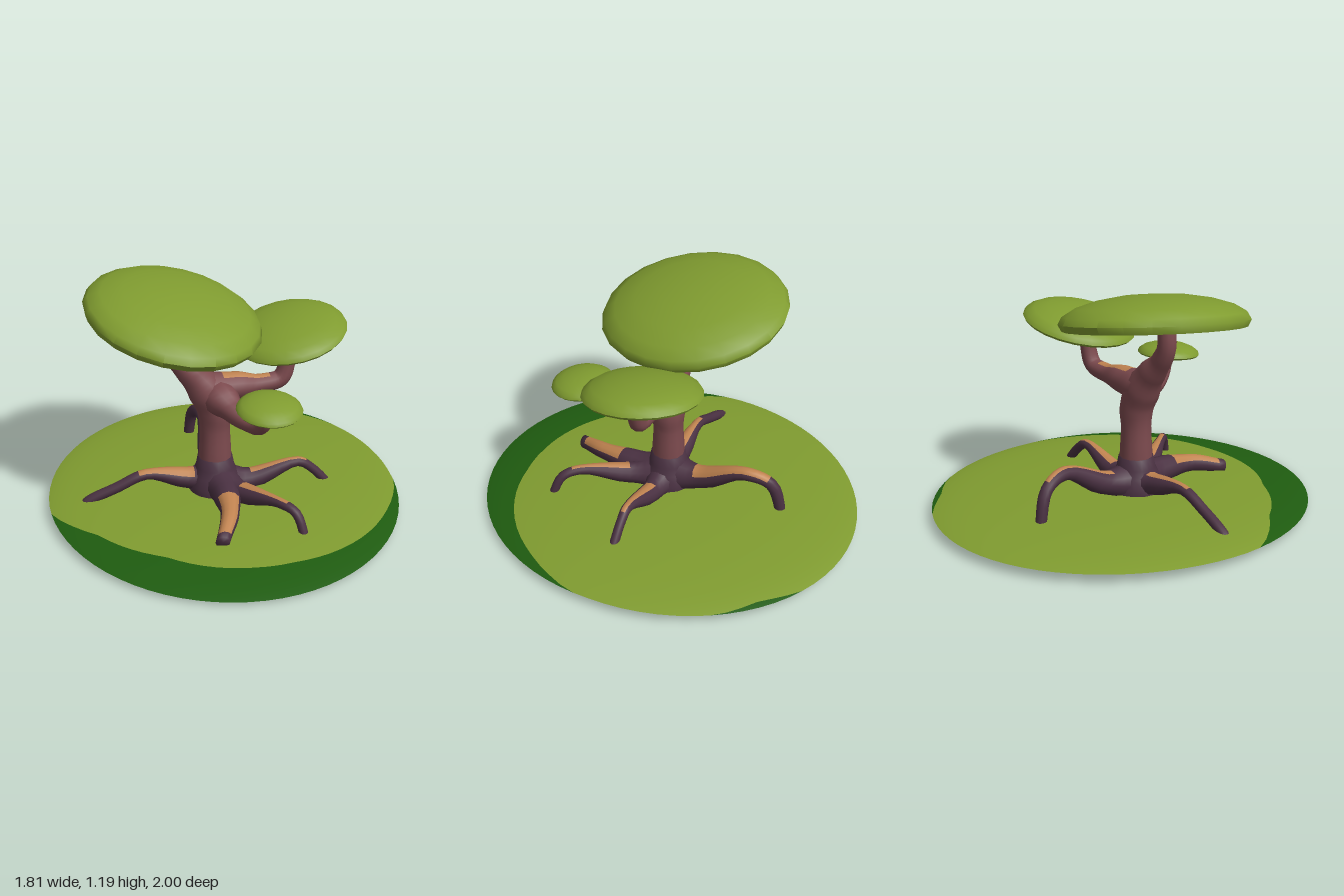
import * as THREE from 'three';
import { toCreasedNormals } from 'three/addons/utils/BufferGeometryUtils.js';

const V = (a) => new THREE.Vector3(...a);

function makeMaterial(name, color) {
  const m = new THREE.MeshStandardMaterial({ color });
  m.name = name;
  return m;
}

// Indexed geometry with one group per material slot
function grouped(positions, lists) {
  const g = new THREE.BufferGeometry();
  g.setAttribute('position', new THREE.Float32BufferAttribute(positions, 3));
  g.setIndex(lists.flat());
  let start = 0;
  lists.forEach((list, slot) => {
    g.addGroup(start, list.length, slot);
    start += list.length;
  });
  g.computeVertexNormals();
  return g;
}

// Tapered limb along a path of [x, y, z, radius]; the listed sides take the second
// material between the given fractions of its length (sides 2 and 3 face up)
function limbGeometry(path, litFrom, litTo, litSides) {
  const sides = 12, steps = (path.length - 1) * 5;
  const curve = new THREE.CatmullRomCurve3(path.map((p) => V(p.slice(0, 3))));
  const heading = V(path.at(-1).slice(0, 3)).sub(V(path[0].slice(0, 3))).setY(0).normalize();
  const side = new THREE.Vector3(0, 1, 0).cross(heading);
  const positions = [], lists = [[], []];
  for (let i = 0; i <= steps; i++) {
    const u = i / steps;
    const f = u * (path.length - 1), k = Math.min(Math.floor(f), path.length - 2);
    const r = THREE.MathUtils.lerp(path[k][3], path[k + 1][3], THREE.MathUtils.smoothstep(f - k, 0, 1));
    const p = curve.getPoint(u);
    const up = curve.getTangent(u).cross(side).normalize();
    for (let j = 0; j < sides; j++) {
      const a = (j / sides) * Math.PI * 2;
      const q = p.clone().addScaledVector(side, Math.cos(a) * r).addScaledVector(up, Math.sin(a) * r);
      positions.push(q.x, q.y, q.z);
    }
  }
  for (let i = 0; i < steps; i++) {
    for (let j = 0; j < sides; j++) {
      const u = (i + 0.5) / steps;
      const lit = u > litFrom && u < litTo && litSides.includes(j);
      const a = i * sides + j, b = i * sides + (j + 1) % sides;
      lists[lit ? 1 : 0].push(a, b, a + sides, b, b + sides, a + sides);
    }
  }
  // Tip cap
  const tip = curve.getPoint(1);
  positions.push(tip.x, tip.y, tip.z);
  const c = positions.length / 3 - 1, last = steps * sides;
  for (let j = 0; j < sides; j++) lists[0].push(last + j, last + (j + 1) % sides, c);
  return grouped(positions, lists);
}

// Edge of the light grass: [degrees from front towards +x, fraction of the rim]
const GRASS_EDGE = [
  [-180, 1], [-84, 1], [-65, 0.85], [-36, 0.76], [-17, 0.77], [0, 0.78], [16, 0.8], [32, 0.845],
  [48, 0.89], [63, 0.93], [78, 0.98], [83, 1], [127, 1], [141, 0.965], [155, 1], [180, 1],
];
function grassEdge(deg) {
  const k = GRASS_EDGE.findIndex((p, i) => i > 0 && deg <= p[0]);
  const [a, b] = [GRASS_EDGE[k - 1], GRASS_EDGE[k]];
  return THREE.MathUtils.mapLinear(deg, a[0], b[0], a[1], b[1]);
}

// One face of the shallow tilted mound, gently swollen and rounded at the rim
function moundGeometry(top) {
  const seg = 72, inner = 14, outer = 6;
  const positions = [], lists = [[], []];
  for (let i = 0; i <= inner + outer; i++) {
    for (let j = 0; j < seg; j++) {
      const deg = -180 + (j / seg) * 360, edge = grassEdge(deg), a = THREE.MathUtils.degToRad(deg);
      const r = i <= inner
        ? edge * Math.sin((i / inner) * Math.PI / 2)
        : edge + (1 - edge) * Math.sin(((i - inner) / outer) * Math.PI / 2);
      const z = r * Math.cos(a);
      const swell = top
        ? 0.036 * (1 - r ** 3) + 0.01 * (1 - r ** 16)
        : -0.01 * (1 - r ** 6) - 0.009 * (1 - r ** 16);
      const x = 0.907 * r * Math.sin(a) + 0.03 * Math.max(0, -z);
      positions.push(x, 0.042 - 0.017 * z - 0.015 * z * z + swell, z);
    }
  }
  for (let i = 0; i < inner + outer; i++) {
    for (let j = 0; j < seg; j++) {
      const a = i * seg + j, b = i * seg + (j + 1) % seg, c = a + seg, d = b + seg;
      const tris = top ? [a, c, d, a, d, b] : [a, d, c, a, b, d];
      lists[i < inner ? 0 : 1].push(...tris);
    }
  }
  return grouped(positions, lists);
}

// Leaf cap: domed above, slightly hollow below, with a soft lip
function capGeometry(rx, rz, height, hollow, lip) {
  const under = [[0, hollow], [0.5, hollow * 0.75], [0.85, -lip * 0.5], [0.96, -lip]];
  const dome = [[1, 0], [0.96, 0.26], [0.83, 0.54], [0.6, 0.79], [0.32, 0.95], [0, 1]];
  const pts = [
    ...under.map(([r, y]) => new THREE.Vector2(r, y)),
    ...dome.map(([r, y]) => new THREE.Vector2(r, y * height)),
  ];
  const g = new THREE.LatheGeometry(pts, 22);
  g.scale(rx, 1, rz);
  return toCreasedNormals(g, 1);
}

export function createModel() {
  const leaf = makeMaterial('leaf green', 0x809c30);
  const shade = makeMaterial('dark grass', 0x1f5c10);
  const bark = makeMaterial('red brown bark', 0x7c4a4e);
  const root = makeMaterial('dark purple bark', 0x4a3142);
  const tan = makeMaterial('tan bark', 0xc08350);

  const model = new THREE.Group();
  model.name = 'tree on mound';
  const add = (name, geometry, material) => {
    const mesh = new THREE.Mesh(geometry, material);
    mesh.name = name;
    model.add(mesh);
    return mesh;
  };

  // Ground
  add('moundTop', moundGeometry(true), [leaf, shade]);
  add('moundUnderside', moundGeometry(false), [leaf, shade]);

  // Flared trunk base
  const flare = [[0, 0.04], [0.13, 0.04], [0.14, 0.07], [0.138, 0.12], [0.12, 0.17], [0.1, 0.21], [0.09, 0.265], [0.07, 0.267]];
  add('trunkBase', new THREE.LatheGeometry(flare.map((p) => new THREE.Vector2(...p)), 16), root)
    .position.set(-0.05, 0, 0.04);

  // Root mass showing under the mound
  const mass = new THREE.Shape([[0.26, 0.03], [0.1, -0.03], [-0.1, -0.12], [-0.14, 0.02], [-0.02, 0.28], [0.08, 0.13]]
    .map((p) => new THREE.Vector2(...p)));
  const massGeometry = new THREE.ExtrudeGeometry(mass, { depth: 0.03, bevelEnabled: false });
  add('rootMass', massGeometry.rotateX(Math.PI / 2), root).position.y = 0.045;

  // Trunk and branches
  const limbs = [
    ['trunk', [[-0.05, 0.24, 0.04, 0.086], [-0.05, 0.42, 0.04, 0.078], [-0.053, 0.53, 0.042, 0.088], [-0.09, 0.63, 0.045, 0.094],
      [-0.165, 0.735, 0.042, 0.072], [-0.238, 0.815, 0.04, 0.053], [-0.28, 0.895, 0.037, 0.048], [-0.275, 1.04, 0.035, 0.044]],
    0.58, 0.75, [2, 3]],
    ['leftBranch', [[-0.09, 0.64, 0.042, 0.09], [0.05, 0.65, 0.04, 0.072], [0.19, 0.65, 0.04, 0.048], [0.29, 0.67, 0.035, 0.045],
      [0.325, 0.76, 0.03, 0.042], [0.33, 0.955, 0.03, 0.038]], 0.1, 0.5, [2, 3]],
    ['frontBranch', [[-0.05, 0.62, 0.02, 0.095], [-0.03, 0.61, 0.1, 0.09], [0.02, 0.575, 0.185, 0.062], [0.1, 0.545, 0.3, 0.042],
      [0.125, 0.585, 0.375, 0.034], [0.135, 0.715, 0.42, 0.028]], 0.45, 0.62, [2, 3]],
  ];
  for (const [name, path, ...lit] of limbs) add(name, limbGeometry(path, ...lit), [bark, tan]);

  // Arched roots
  const roots = [
    ['backRoot', [[-0.05, 0.13, 0.02, 0.1], [-0.04, 0.165, -0.17, 0.06], [-0.03, 0.275, -0.4, 0.036], [-0.06, 0.23, -0.54, 0.032],
      [-0.08, 0.025, -0.6, 0.028]], 0.2, 0.68, [2, 3, 4]],
    ['rightRoot', [[-0.05, 0.13, 0.04, 0.1], [-0.2, 0.15, 0.04, 0.055], [-0.41, 0.19, 0.04, 0.028], [-0.56, 0.13, 0.04, 0.027],
      [-0.71, 0.06, 0.03, 0.027], [-0.74, 0.025, 0.03, 0.024]], 0.15, 0.46, [1, 2, 3]],
    ['frontRoot', [[-0.05, 0.12, 0.04, 0.11], [-0.03, 0.13, 0.22, 0.07], [-0.05, 0.125, 0.42, 0.046], [-0.12, 0.085, 0.59, 0.036]],
      0.46, 0.94, [1, 2, 3, 4]],
    ['frontLeftRoot', [[-0.04, 0.12, 0.06, 0.1], [0.06, 0.13, 0.22, 0.055], [0.2, 0.175, 0.43, 0.026], [0.265, 0.15, 0.505, 0.024],
      [0.305, 0.008, 0.56, 0.023]], 0.25, 0.6, [2, 3]],
    ['leftRoot', [[-0.04, 0.12, 0.04, 0.1], [0.14, 0.115, 0.05, 0.055], [0.385, 0.19, 0.06, 0.026], [0.46, 0.145, 0.06, 0.024],
      [0.57, 0.02, 0.06, 0.024]], 0.25, 0.6, [2, 3]],
  ];
  for (const [name, path, ...lit] of roots) add(name, limbGeometry(path, ...lit), [root, tan]);

  // Leaf caps: name, centre, radii, height, hollow, lip, slope along x and z
  const caps = [
    ['largeCanopy', [-0.247, 1.03, -0.01], [0.447, 0.485], 0.133, 0.025, 0.035, -0.185, -0.12],
    ['leftCanopy', [0.342, 0.893, -0.015], [0.294, 0.295], 0.085, 0.045, 0.014, 0.195, -0.11],
    ['smallCanopy', [0.14, 0.695, 0.425], [0.162, 0.163], 0.056, 0.012, 0.008, -0.02, -0.1],
  ];
  for (const [name, centre, [rx, rz], height, hollow, lip, sx, sz] of caps) {
    const cap = add(name, capGeometry(rx, rz, height, hollow, lip), leaf);
    cap.position.set(...centre);
    cap.rotation.set(-Math.atan(sz), 0, Math.atan(sx));
  }
  return model;
}
